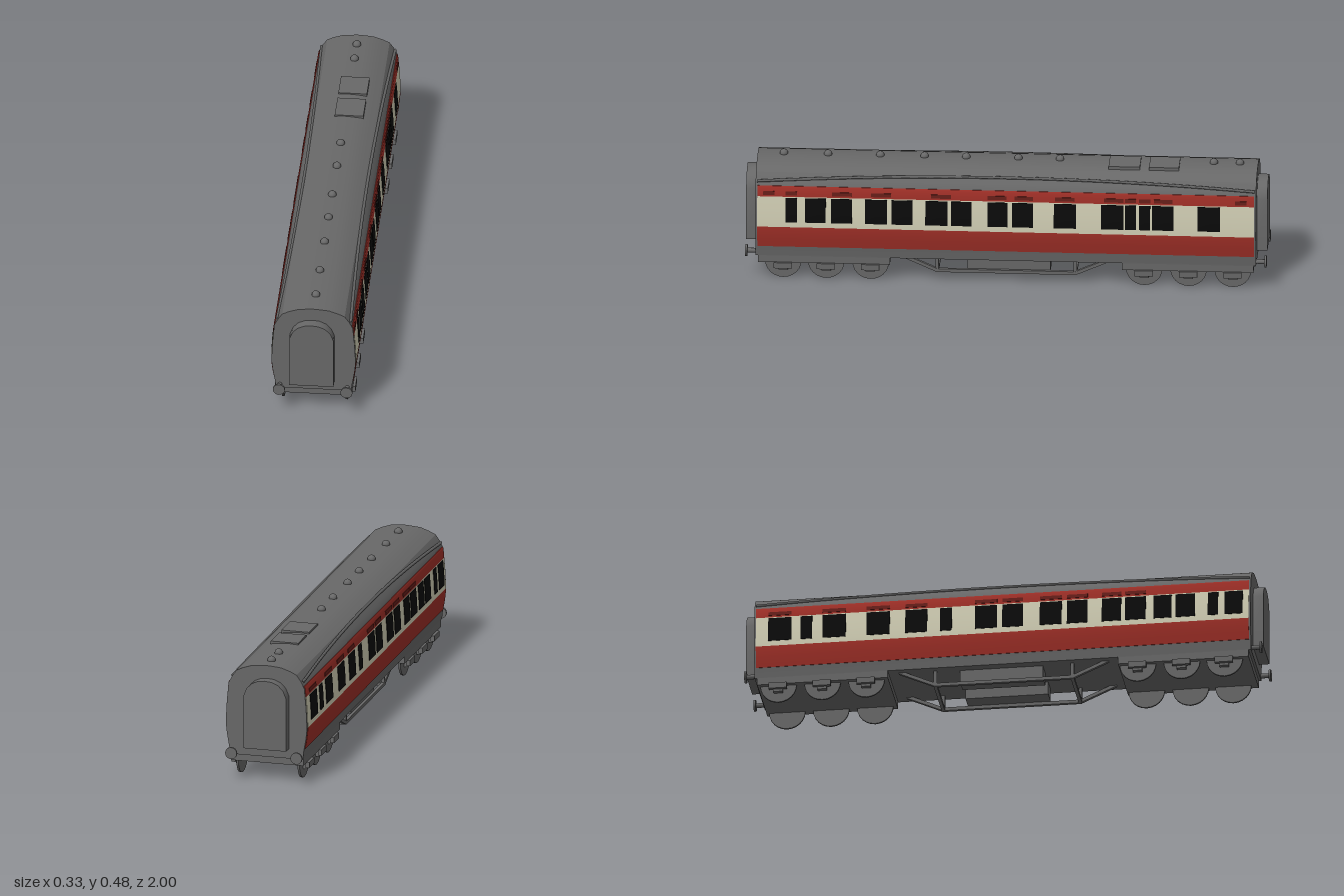
import * as THREE from 'three';
import { toCreasedNormals } from 'three/addons/utils/BufferGeometryUtils.js';

const mat = (name, color) => Object.assign(new THREE.MeshStandardMaterial({ color }), { name });

// Right half of the body section, bottom to top
const SIDE = [[0.145, 0.096], [0.149, 0.13], [0.157, 0.175], [0.161, 0.21], [0.161, 0.24], [0.158, 0.3],
  [0.151, 0.38], [0.137, 0.408], [0.12, 0.432], [0.095, 0.444], [0.06, 0.456], [0.03, 0.459], [0, 0.461]];

// Half width of the body at height y
function halfWidth(y) {
  for (let i = 1; i < SIDE.length; i++) {
    const [x0, y0] = SIDE[i - 1], [x1, y1] = SIDE[i];
    if (y <= y1) return x0 + (x1 - x0) * (y - y0) / (y1 - y0);
  }
  return 0;
}

export function createModel() {
  const grey = mat('grey', 0x686868);
  const red = mat('red', 0x9f2f27);
  const cream = mat('cream', 0xd2cfb5);
  const glass = mat('black glass', 0x0a0a0a);
  const maroon = mat('maroon', 0x661e19);
  const root = new THREE.Group();
  root.name = 'railwayCoach';

  const add = (name, geo, material, x = 0, y = 0, z = 0) => {
    const mesh = new THREE.Mesh(geo, material);
    mesh.name = name;
    mesh.position.set(x, y, z);
    root.add(mesh);
    return mesh;
  };
  // Box given by its limits
  const box = (name, x0, x1, y0, y1, z0, z1, m = grey) => add(name,
    new THREE.BoxGeometry(Math.abs(x1 - x0), y1 - y0, Math.abs(z1 - z0)), m, (x0 + x1) / 2, (y0 + y1) / 2, (z0 + z1) / 2);
  // Outline in xy drawn out along z
  const prism = (name, pts, z0, z1, m) => {
    const shape = new THREE.Shape(pts.map(([x, y]) => new THREE.Vector2(x, y)));
    const geo = new THREE.ExtrudeGeometry(shape, { depth: z1 - z0, bevelEnabled: false });
    return add(name, toCreasedNormals(geo, 0.5), m, 0, 0, z0);
  };
  // Thin plate that follows the curve of the body side
  const plate = (name, s, y0, y1, z0, z1, out, m) => {
    const ys = [y0, ...SIDE.map(p => p[1]).filter(y => y > y0 && y < y1), y1];
    const outer = ys.map(y => [s * (halfWidth(y) + out), y]);
    const inner = ys.map(y => [s * (halfWidth(y) - 0.002), y]).reverse();
    return prism(name, [...outer, ...inner], z0, z1, m);
  };
  // Square bar between two points
  const bar = (name, a, b, size) => {
    const p = new THREE.Vector3(...a), q = new THREE.Vector3(...b);
    const mesh = add(name, new THREE.BoxGeometry(size, size, p.distanceTo(q)), grey);
    mesh.position.copy(p).add(q).multiplyScalar(0.5);
    mesh.lookAt(q);
  };

  // Body shell and roof
  prism('body', [...SIDE, ...SIDE.slice(0, -1).reverse().map(([x, y]) => [-x, y])], -0.96, 0.96, grey);

  // Painted bands, windows and ventilator hoods, [start, end] in z
  const windows = {
    '1': [[0.8, 0.845], [0.69, 0.77], [0.59, 0.67], [0.455, 0.54], [0.357, 0.437], [0.223, 0.308], [0.13, 0.21],
      [-0.008, 0.07], [-0.105, -0.024], [-0.27, -0.185], [-0.453, -0.367], [-0.5, -0.458], [-0.555, -0.512],
      [-0.645, -0.562], [-0.823, -0.737]],
    '-1': [[-0.905, -0.815], [-0.78, -0.735], [-0.695, -0.605], [-0.525, -0.435], [-0.375, -0.29], [-0.24, -0.195],
      [-0.105, -0.02], [0, 0.08], [0.145, 0.23], [0.25, 0.33], [0.385, 0.46], [0.475, 0.555], [0.585, 0.655],
      [0.67, 0.745], [0.795, 0.835], [0.86, 0.93]],
  };
  const hoods = {
    '1': [[0.887, 0.93], [0.8, 0.845], [0.59, 0.667], [0.44, 0.517], [0.21, 0.287], [-0.003, 0.07], [-0.105, -0.035],
      [-0.265, -0.19], [-0.453, -0.378], [-0.5, -0.458], [-0.555, -0.512], [-0.64, -0.57], [-0.925, -0.88]],
    '-1': windows['-1'].filter(([a, b]) => b - a > 0.075),
  };
  for (const s of [1, -1]) {
    plate('lowerRedBand', s, 0.137, 0.222, -0.953, 0.953, 0.002, red);
    plate('creamBand', s, 0.222, 0.345, -0.953, 0.953, 0.002, cream);
    plate('upperRedBand', s, 0.345, 0.387, -0.953, 0.953, 0.002, red);
    for (const [a, b] of windows[s]) plate('window', s, 0.243, 0.341, a, b, 0.004, glass);
    for (const [a, b] of hoods[s]) plate('ventHood', s, 0.352, 0.367, a, b, 0.004, maroon);

    // Arched rain strip along the roof edge
    const pts = [];
    for (let i = 0; i <= 16; i++) {
      const t = i / 8 - 1, y = 0.431 - 0.028 * t * t;
      pts.push(new THREE.Vector3(s * (halfWidth(y) + 0.002), y, t * 0.955));
    }
    add('rainStrip', new THREE.TubeGeometry(new THREE.CatmullRomCurve3(pts), 32, 0.006, 5), grey);
  }

  // Roof domes and hatches
  for (const z of [-0.89, -0.79, -0.2, -0.04, 0.16, 0.32, 0.49, 0.69, 0.86])
    add('roofVent', new THREE.SphereGeometry(0.016, 14, 10), grey, 0, 0.463, z);
  box('roofHatch', -0.04, 0.07, 0.45, 0.465, -0.66, -0.545);
  box('roofHatch', -0.04, 0.07, 0.45, 0.465, -0.51, -0.39);

  // Ends: gangway, buffer beam and buffers
  const arch = [[-0.09, 0.135], [0.08, 0.135], [0.08, 0.345], [0.068, 0.375], [0.048, 0.396], [0.022, 0.407],
    [-0.004, 0.41], [-0.032, 0.407], [-0.058, 0.396], [-0.078, 0.375], [-0.09, 0.345]];
  for (const e of [1, -1]) {
    prism('gangway', arch, e > 0 ? 0.955 : -1, e > 0 ? 1 : -0.955, grey);
    for (const s of [1, -1]) {
      add('bufferShaft', new THREE.CylinderGeometry(0.009, 0.009, 0.045, 12), grey, s * 0.13, 0.11, e * 0.972).rotation.x = Math.PI / 2;
      add('bufferHead', new THREE.CylinderGeometry(0.023, 0.023, 0.008, 20), grey, s * 0.13, 0.11, e * 0.996).rotation.x = Math.PI / 2;
    }
  }

  // Six-wheeled bogies
  for (const [e, axles] of [[1, [0.855, 0.69, 0.52]], [-1, [-0.53, -0.7, -0.87]]]) {
    box('bogieFrame', -0.145, 0.145, 0.068, 0.1, e * 0.445, e * 0.95);
    for (const z of axles) for (const s of [1, -1]) {
      add('wheel', new THREE.CylinderGeometry(0.07, 0.07, 0.008, 24), grey, s * 0.122, 0.07, z).rotation.z = Math.PI / 2;
      box('axleGuard', s * 0.126, s * 0.143, 0.037, 0.08, z - 0.018, z + 0.018);
      box('axleSpring', s * 0.14, s * 0.155, 0.047, 0.07, z - 0.035, z + 0.035);
    }
  }

  // Underframe: trusses, cross bars and equipment boxes
  for (const s of [1, -1]) {
    const x = s * 0.112;
    bar('trussRail', [x, 0.038, -0.27], [x, 0.038, 0.27], 0.013);
    for (const e of [1, -1]) {
      bar('trussDiagonal', [x, 0.038, e * 0.265], [x, 0.1, e * 0.405], 0.013);
      bar('trussPost', [x, 0.038, e * 0.265], [x, 0.1, e * 0.265], 0.012);
    }
    box('equipmentBox', s * 0.04, s * 0.108, 0.045, 0.1, -0.17, 0.15);
  }
  for (const e of [1, -1]) bar('crossBar', [-0.115, 0.038, e * 0.265], [0.115, 0.038, e * 0.265], 0.013);

  return root;
}
